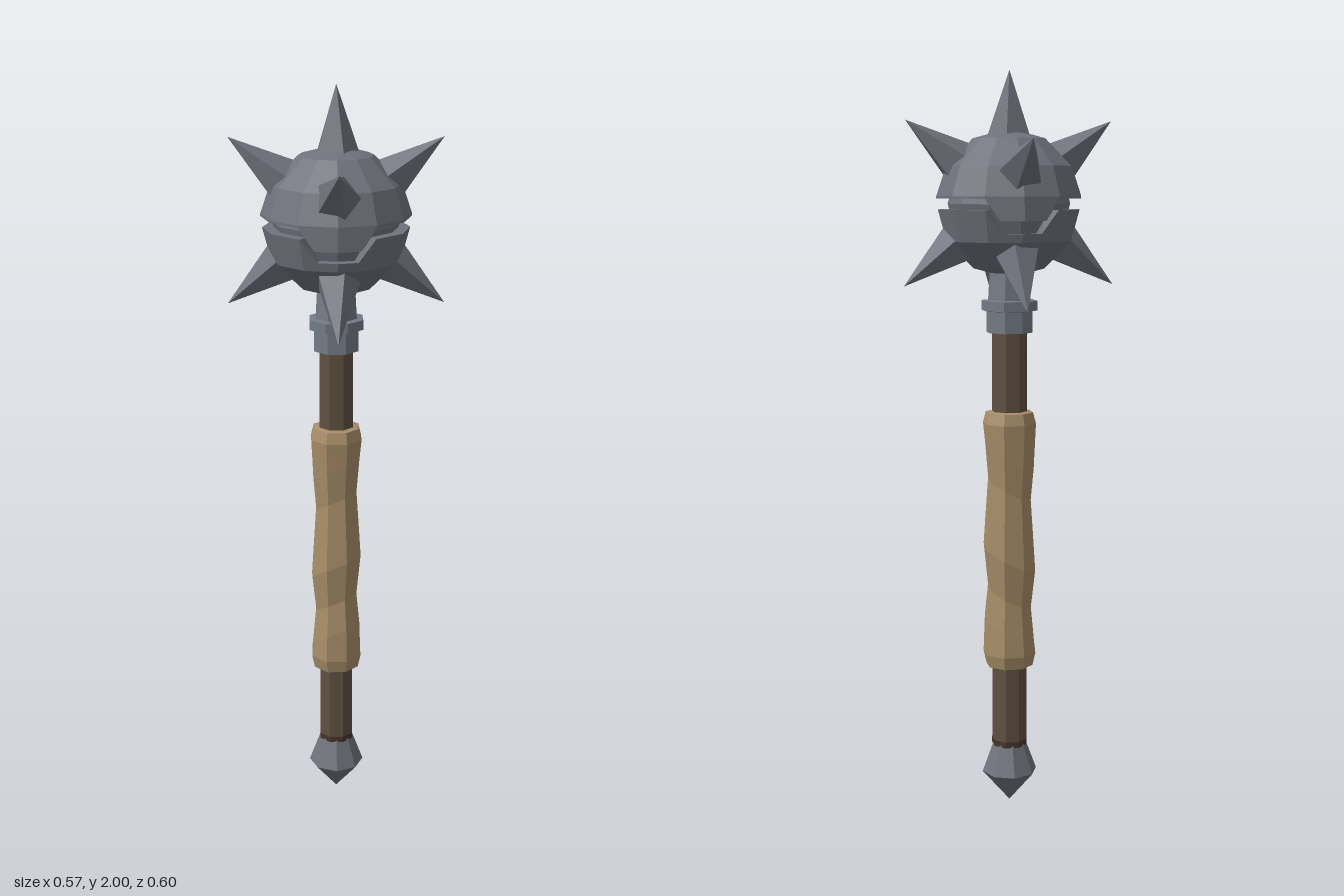
import * as THREE from 'three';

const mat = (name, color, side = THREE.FrontSide) => {
  const m = new THREE.MeshStandardMaterial({ color, flatShading: true, side });
  m.name = name;
  return m;
};

const HEAD_Y = 1.655, R = 0.195;

export function createModel() {
  const steel = mat('steel', 0x70727c);
  const collarSteel = mat('collarSteel', 0x757b86);
  const wood = mat('darkWood', 0x5f5140);
  const leather = mat('leather', 0xa88e68);
  const band = mat('darkBand', 0x46352c);

  const model = new THREE.Group();
  model.name = 'spikedMace';
  const add = (name, geometry, material, parent = model) => {
    const mesh = new THREE.Mesh(geometry, material);
    mesh.name = name;
    parent.add(mesh);
    return mesh;
  };
  // Faceted turned part from [radius, y] pairs, bottom to top
  const turned = (points, sides = 8, start = Math.PI / 8) =>
    new THREE.LatheGeometry(points.map(p => new THREE.Vector2(...p)), sides, start);

  // Pommel and shaft
  add('pommel', turned([[0, 0], [0.076, 0.088], [0.045, 0.172], [0, 0.172]], 8, 0), steel);
  add('shaftBand', turned([[0, 0.165], [0.049, 0.165], [0.049, 0.182], [0, 0.182]]), band);
  add('shaft', turned([[0.048, 0.17], [0.048, 1.36]]), wood);

  // Grip: wavy rings, the middle ones leaning to one side
  const grip = turned([
    [0.045, 0.39], [0.065, 0.395], [0.073, 0.43], [0.069, 0.5], [0.06, 0.59],
    [0.072, 0.7], [0.066, 0.79], [0.059, 0.89], [0.067, 0.98], [0.073, 1.07],
    [0.065, 1.1], [0.045, 1.103]]);
  const gp = grip.attributes.position;
  for (let i = 0; i < gp.count; i++) {
    const y = gp.getY(i);
    if (y > 0.45 && y < 1.05) gp.setY(i, y + 0.45 * (gp.getX(i) + 0.5 * gp.getZ(i)));
  }
  add('grip', grip, leather);

  // Collar under the head
  add('collar', turned([[0, 1.315], [0.063, 1.315], [0.063, 1.372], [0.076, 1.374],
    [0.076, 1.4], [0.058, 1.402], [0.052, 1.5]]), collarSteel);

  // Head: two shells around a core, parted by a groove that dips at front and back
  const head = new THREE.Group();
  head.name = 'head';
  head.position.y = HEAD_Y;
  model.add(head);
  add('headCore', new THREE.SphereGeometry(0.165, 12, 6), steel, head);

  const columns = [];
  for (const base of [0, 180]) for (const a of [0, 18, 30, 60, 90, 120, 150, 162]) columns.push(base + a);
  const dips = a => Math.abs(Math.sin(a * Math.PI / 180)) < 0.4;
  const ring = [[0, R], [R / 2, R * 0.866], [R * 0.866, R / 2], [R, 0]];
  const radiusAt = y => {
    const h = Math.abs(y);
    for (let i = 0; i < 3; i++) {
      const [r0, y0] = ring[i], [r1, y1] = ring[i + 1];
      if (h >= y1) return r0 + (r1 - r0) * (y0 - h) / (y0 - y1);
    }
    return R;
  };
  // rowsFor(angle) gives [radius, y] pairs from bottom to top
  const shell = rowsFor => {
    const pos = [], index = [];
    let rows = 0;
    columns.forEach(a => {
      const t = a * Math.PI / 180;
      const chord = Math.cos(Math.PI / 12) / Math.cos(((a % 30) - 15) * Math.PI / 180);
      const list = rowsFor(a);
      rows = list.length;
      list.forEach(([r, y]) => pos.push(r * chord * Math.sin(t), y, r * chord * Math.cos(t)));
    });
    for (let j = 0; j < columns.length; j++) {
      const k = (j + 1) % columns.length;
      for (let i = 0; i < rows - 1; i++) {
        const a = j * rows + i, b = k * rows + i;
        index.push(a, b, b + 1, a, b + 1, a + 1);
      }
    }
    const g = new THREE.BufferGeometry();
    g.setAttribute('position', new THREE.Float32BufferAttribute(pos, 3));
    g.setIndex(index);
    g.computeVertexNormals();
    return g;
  };
  add('upperShell', shell(a => {
    const y = dips(a) ? -0.042 : 0.014;
    return [[0.14, y], [R + (dips(a) ? 0.003 : 0), y], [R, 0.02],
      [R * 0.866, R / 2], [R / 2, R * 0.866], [0, R]];
  }), steel, head);
  add('lowerShell', shell(a => {
    const y = dips(a) ? -0.075 : -0.015;
    return [[0, -R], [R / 2, -R * 0.866], [R * 0.866, -R / 2], [radiusAt(y), y], [0.14, y]];
  }), steel, head);

  // Spikes: five-sided cones, tilted from the top towards each side
  const spike = (name, out, up, axis, turn) => {
    const length = Math.hypot(out, up), base = 0.175;
    const g = new THREE.ConeGeometry(0.059, length - base, 5);
    g.rotateY(Math.PI / 2);
    g.translate(0, (length + base) / 2, 0);
    const mesh = add(name, g, steel, head);
    const tilt = Math.atan2(out, up);
    if (axis === 'x') mesh.rotation.set(0, turn, tilt);
    else mesh.rotation.x = tilt * turn;
  };
  spike('topSpike', 0, 0.345, 'z', 1);
  for (const turn of [0, Math.PI]) {
    spike('upperSideSpike', 0.275, 0.215, 'x', turn);
    spike('lowerSideSpike', 0.283, -0.215, 'x', turn);
  }
  for (const sign of [1, -1]) {
    spike(sign > 0 ? 'upperFrontSpike' : 'upperBackSpike', 0.3, 0.162, 'z', sign);
    spike(sign > 0 ? 'lowerFrontSpike' : 'lowerBackSpike', 0.235, -0.27, 'z', sign);
  }
  return model;
}
